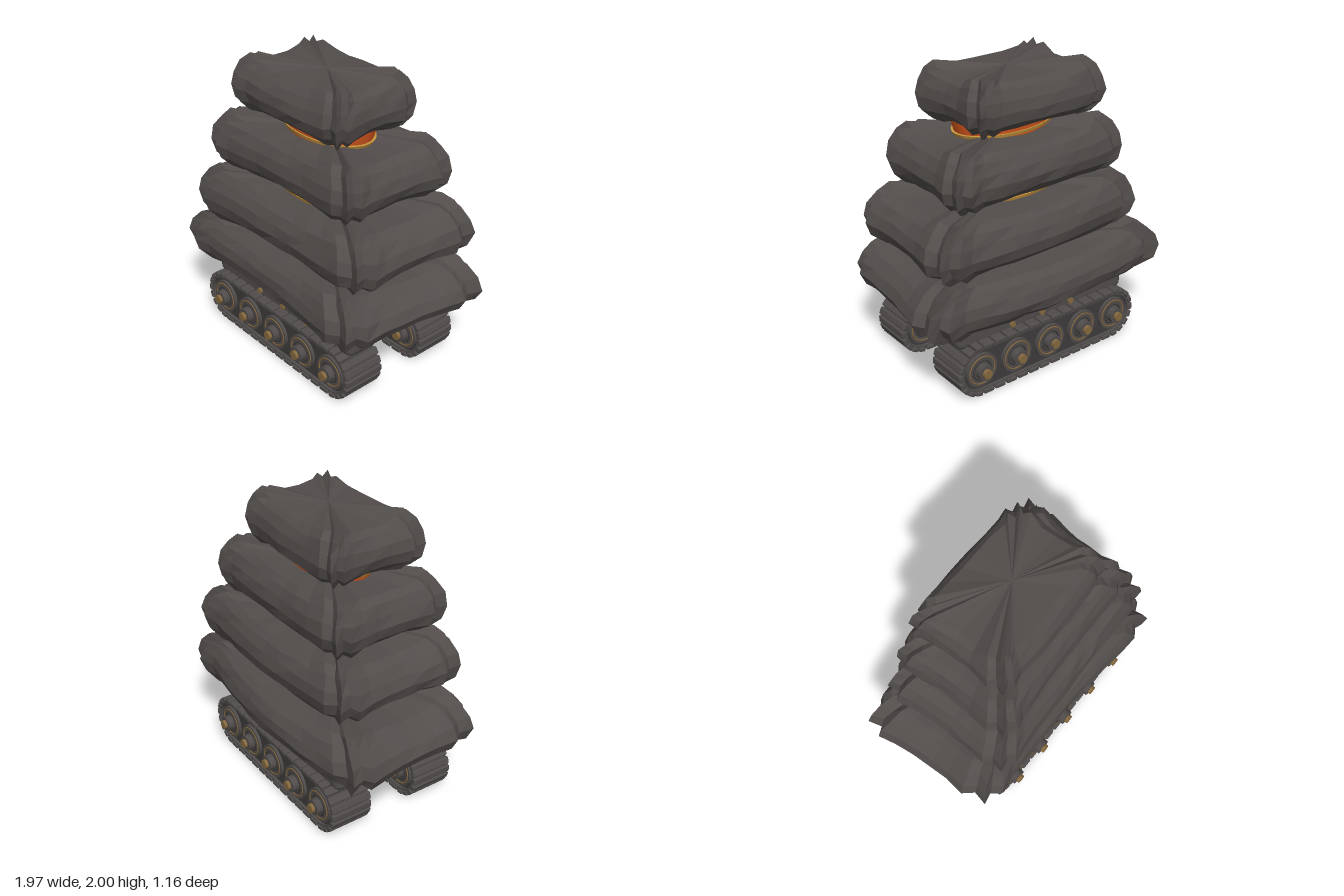
import * as THREE from 'three';
import { RoundedBoxGeometry } from 'three/addons/geometries/RoundedBoxGeometry.js';

const mat = (name, color, flat = false) => {
  const m = new THREE.MeshStandardMaterial({ color, flatShading: flat });
  m.name = name;
  return m;
};

function add(parent, name, geometry, material, x = 0, y = 0, z = 0) {
  const mesh = new THREE.Mesh(geometry, material);
  mesh.name = name;
  mesh.position.set(x, y, z);
  parent.add(mesh);
  return mesh;
}

// Small seeded generator for the rock roughness
function seeded(seed) {
  let s = seed;
  return () => ((s = (s * 16807) % 2147483647) / 2147483647) * 2 - 1;
}

// Slab height profile: [height fraction, inset from the widest outline]
const PROFILE = [[0, 0.13], [0.06, 0.07], [0.22, 0.018], [0.45, 0], [0.68, 0.015], [0.88, 0.05], [1, 0.095]];

// Chipped corner: [distance before the corner, distance after it, lift of the rim]
const CHIP = [[0.2, 0.015, 0], [0.11, 0, 0.02], [0.085, 0.05, 0], [0.02, 0.035, 0.03], [0.04, 0.1, 0.005], [0, 0.15, 0.015]];

// Rock in plan: four corners and the outward bow of the front and back edges
function rockOutline(corners, front, back, size) {
  const c = corners.map(p => new THREE.Vector2(...p));
  const bows = [front, -0.02, back, -0.02];
  const chips = c.map((p, i) => {
    const u = p.clone().sub(c[(i + 3) % 4]).normalize();
    const v = c[(i + 1) % 4].clone().sub(p).normalize();
    return CHIP.map(([a, b, lift]) => {
      const q = p.clone().addScaledVector(u, -a * size).addScaledVector(v, b * size);
      return [q.x, q.y, lift];
    });
  });
  const pts = [];
  chips.forEach((chip, i) => {
    pts.push(...chip);
    // Bowed edge to the next corner
    const a = chip.at(-1), b = chips[(i + 1) % 4][0];
    const dx = b[0] - a[0], dz = b[1] - a[1], len = Math.hypot(dx, dz);
    const steps = Math.max(2, Math.round(len / 0.15));
    for (let k = 1; k < steps; k++) {
      const t = k / steps, bow = bows[i] * Math.sin(Math.PI * t);
      pts.push([a[0] + dx * t + dz / len * bow, a[1] + dz * t - dx / len * bow, -0.015 * Math.sin(Math.PI * t)]);
    }
  });
  return pts;
}

// Boulder slab lofted through the height profile
function rockGeometry(pts, y0, y1, stretch, seed) {
  const rnd = seeded(seed);
  const hx = Math.max(...pts.map(p => Math.abs(p[0])));
  const hz = Math.max(...pts.map(p => Math.abs(p[1])));
  const n = pts.length, pos = [], index = [];
  PROFILE.forEach(([t, inset]) => {
    for (const [x, z, lift] of pts) {
      pos.push(x * (1 - inset * stretch / hx) + rnd() * 0.007,
        y0 + (y1 - y0) * t + lift * (2 * t - 0.8) + rnd() * 0.006,
        z * (1 - inset / hz) + rnd() * 0.007);
    }
  });
  for (let r = 0; r < PROFILE.length - 1; r++) for (let i = 0; i < n; i++) {
    const a = r * n + i, b = r * n + (i + 1) % n;
    index.push(a, a + n, b, b, a + n, b + n);
  }
  // Close the underside and the top
  const bottom = PROFILE.length * n, topRow = bottom - n;
  pos.push(0, y0 + 0.01, 0, 0, y1, 0);
  for (let i = 0; i < n; i++) {
    const j = (i + 1) % n;
    index.push(bottom, i, j, bottom + 1, topRow + j, topRow + i);
  }
  const g = new THREE.BufferGeometry();
  g.setAttribute('position', new THREE.Float32BufferAttribute(pos, 3));
  g.setIndex(index);
  g.computeVertexNormals();
  return g;
}

// Flat-sided loop shape with round ends
function stadium(half, r) {
  const s = new THREE.Shape();
  s.moveTo(-half, -r);
  s.lineTo(half, -r);
  s.absarc(half, 0, r, -Math.PI / 2, Math.PI / 2, false);
  s.lineTo(-half, r);
  s.absarc(-half, 0, r, Math.PI / 2, Math.PI * 1.5, false);
  return s;
}

export function createModel() {
  const model = new THREE.Group();
  model.name = 'trackedRockStack';
  const rock = mat('rock', 0x524d4b, true);
  const metal = mat('dark metal', 0x504c4b);
  const shade = mat('wheel well', 0x3e3b3b);
  const orange = mat('orange core', 0xd9581f);
  const gold = mat('gold trim', 0xc8973f);
  const bronze = mat('bronze', 0x85693f);

  // Four stacked rocks, corners running front left, front right, back right, back left
  const slab = (name, outline, y0, y1, stretch, seed) =>
    add(model, name, rockGeometry(outline, y0, y1, stretch, seed), rock);
  slab('bottomRock', rockOutline([[0.87, 0.59], [-0.94, 0.54], [-1.01, -0.51], [1.0, -0.53]], -0.03, 0.07, 1.4),
    0.45, 0.775, 2.1, 11);
  slab('lowerMiddleRock', rockOutline([[0.85, 0.49], [-0.77, 0.55], [-0.8, -0.45], [0.89, -0.52]], -0.01, 0.04, 1.2),
    0.825, 1.175, 1.7, 23);
  slab('upperMiddleRock', rockOutline([[0.68, 0.43], [-0.66, 0.48], [-0.68, -0.41], [0.72, -0.45]], -0.02, 0.015, 1),
    1.225, 1.575, 1.2, 37);
  slab('topRock', rockOutline([[0.49, 0.35], [-0.54, 0.38], [-0.55, -0.36], [0.47, -0.36]], 0.01, 0.015, 0.85),
    1.635, 1.96, 1, 51);

  // Oval joints with a gold band, between the rocks
  for (const [y, x, rx, rz] of [[0.8, -0.02, 0.53, 0.345], [1.2, 0.035, 0.46, 0.29], [1.61, 0.015, 0.39, 0.24]]) {
    const joint = new THREE.Group();
    joint.name = 'joint';
    joint.position.set(x, y, 0.01);
    joint.scale.set(rx, 1, rz);
    add(joint, 'core', new THREE.CylinderGeometry(1, 0.9, 0.13, 40), orange, 0, 0.01, 0);
    add(joint, 'band', new THREE.CylinderGeometry(0.97, 0.94, 0.022, 40), gold, 0, -0.022, 0).rotation.z = -0.012;
    model.add(joint);
  }

  // Chassis deck with a row of bolts on both long sides
  add(model, 'chassis', new RoundedBoxGeometry(1.38, 0.15, 0.82, 3, 0.045), metal, 0, 0.405, 0);
  for (const side of [1, -1]) for (const x of [-0.21, 0.035, 0.28]) {
    add(model, 'bolt', new THREE.CylinderGeometry(0.021, 0.021, 0.03, 12), bronze, x, 0.392, side * 0.411).rotation.x = Math.PI / 2;
  }

  // Crawler tracks
  const HALF = 0.555, R = 0.17, Y = 0.185;
  const drum = (parent, name, r, length, m) =>
    add(parent, name, new THREE.CylinderGeometry(r, r, length, 28), m).rotation.x = Math.PI / 2;
  for (const side of [1, -1]) {
    const track = new THREE.Group();
    track.name = side > 0 ? 'frontTrack' : 'backTrack';
    track.position.set(0, Y, side * 0.325);

    const belt = stadium(HALF, 0.166);
    belt.holes.push(stadium(HALF, 0.142));
    const beltGeo = new THREE.ExtrudeGeometry(belt, { depth: 0.28, bevelEnabled: false, curveSegments: 16 });
    add(track, 'belt', beltGeo, metal, 0, 0, -0.14);
    const wellGeo = new THREE.ExtrudeGeometry(stadium(HALF, 0.143), { depth: 0.24, bevelEnabled: false, curveSegments: 16 });
    add(track, 'wheelWell', wellGeo, shade, 0, 0, -0.12);

    // Tread pads along the straights and around the ends
    const pad = new RoundedBoxGeometry(0.08, 0.034, 0.3, 2, 0.011);
    const endPad = new RoundedBoxGeometry(0.052, 0.034, 0.3, 2, 0.011);
    for (const s of [1, -1]) {
      for (let i = 0; i < 12; i++) {
        add(track, 'treadPad', pad, metal, -HALF + (i + 0.5) * 2 * HALF / 12, s * 0.168, 0);
      }
      for (let i = 0; i < 9; i++) {
        const a = -Math.PI / 2 + (i + 0.5) * Math.PI / 9;
        const p = add(track, 'treadPad', endPad, metal, s * (HALF + R * Math.cos(a)), R * Math.sin(a), 0);
        p.rotation.z = s * (a - Math.PI / 2);
      }
    }

    // Road wheels with trim rings and stepped hubs on both faces
    for (let i = -2; i <= 2; i++) {
      const wheel = new THREE.Group();
      wheel.name = 'roadWheel';
      wheel.position.x = i * 0.28;
      drum(wheel, 'disc', 0.118, 0.28, metal);
      drum(wheel, 'hub', 0.054, 0.37, metal);
      drum(wheel, 'axle', 0.031, 0.415, bronze);
      for (const f of [1, -1]) {
        add(wheel, 'trimRing', new THREE.TorusGeometry(0.097, 0.005, 6, 32), bronze, 0, 0, f * 0.14);
        add(wheel, 'innerRing', new THREE.TorusGeometry(0.068, 0.006, 6, 28), shade, 0, 0, f * 0.14);
      }
      track.add(wheel);
    }
    model.add(track);
  }
  return model;
}
